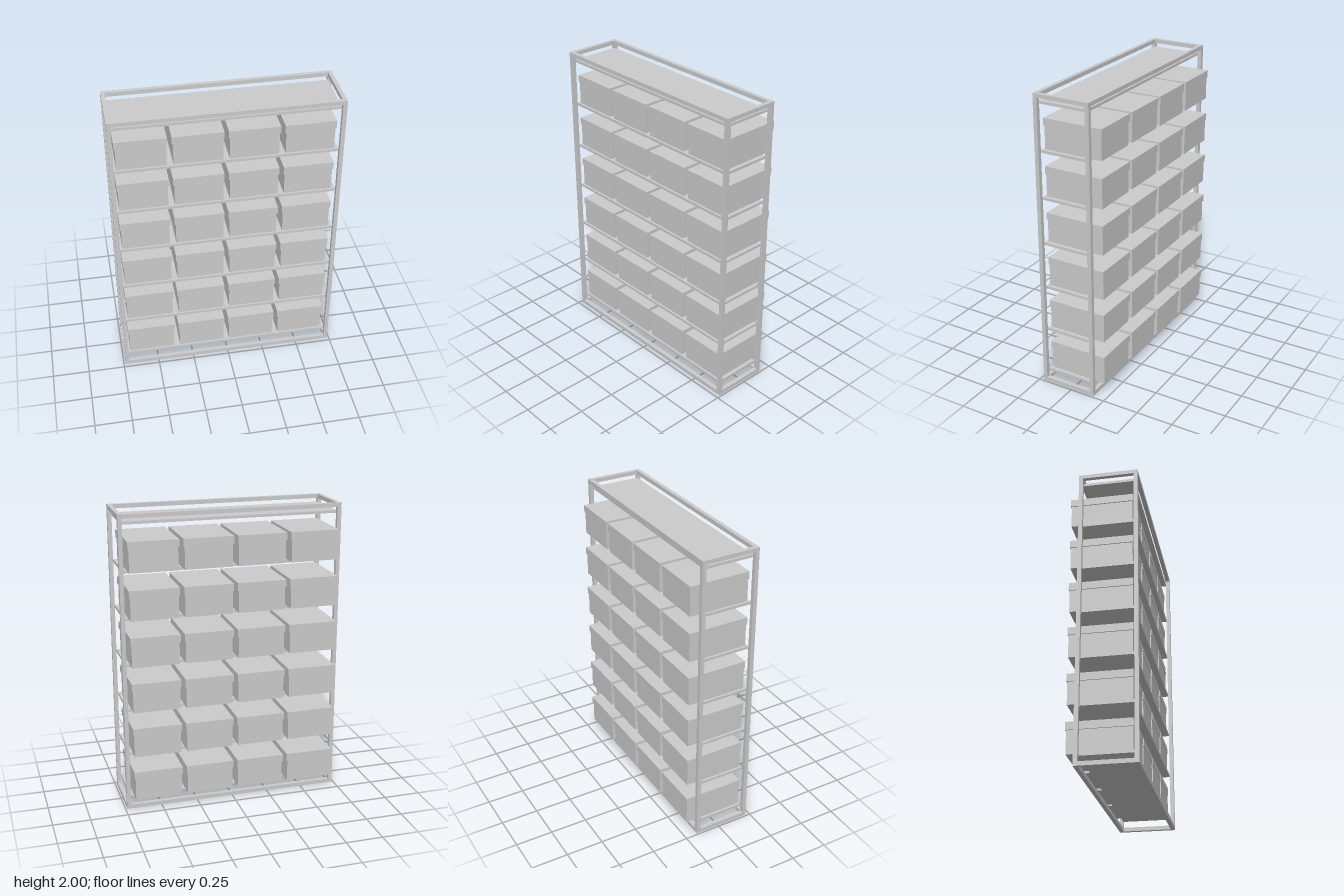
import * as THREE from 'three';

const material = new THREE.MeshStandardMaterial({ color: 0xcccccc });

// Box given by its limits on each axis
function block(parent, name, [x0, x1], [y0, y1], [z0, z1]) {
  const mesh = new THREE.Mesh(new THREE.BoxGeometry(x1 - x0, y1 - y0, z1 - z0), material);
  mesh.position.set((x0 + x1) / 2, (y0 + y1) / 2, (z0 + z1) / 2);
  mesh.name = name;
  parent.add(mesh);
}

export function createModel() {
  const model = new THREE.Group();
  model.name = 'shelvingUnit';

  const X = 0.738, BACK = -0.165, FRONT = 0.223, H = 2, BAR = 0.027;
  const innerX = [-X + BAR, X - BAR];
  const innerZ = [BACK + BAR, FRONT - BAR];
  const sidesX = [[-X, -X + BAR], [X - BAR, X]];
  const sidesZ = [[BACK, BACK + BAR], [FRONT - BAR, FRONT]];

  // Open frame: four posts, with rails around the top and bottom
  const frame = new THREE.Group();
  frame.name = 'frame';
  model.add(frame);
  for (const x of sidesX) for (const z of sidesZ) block(frame, 'post', x, [0, H], z);
  for (const y of [[0, BAR], [H - BAR, H]]) {
    for (const z of sidesZ) block(frame, 'longRail', innerX, y, z);
    for (const x of sidesX) block(frame, 'sideRail', x, y, innerZ);
  }

  // Seven shelves, the lower six each holding four lidded boxes
  for (let row = 0; row < 7; row++) {
    const top = 0.087 + row * 0.3103;
    block(model, 'shelf', innerX, [top - 0.018, top], innerZ);
    if (row === 6) continue;
    for (let col = 0; col < 4; col++) {
      const box = new THREE.Group();
      box.name = 'storageBox';
      box.position.set(-0.538 + col * 0.3555, top, -0.02);
      block(box, 'boxBody', [-0.157, 0.157], [0, 0.152], [-0.199, 0.202]);
      block(box, 'boxLid', [-0.164, 0.164], [0.15, 0.2], [-0.204, 0.205]);
      model.add(box);
    }
  }
  return model;
}
